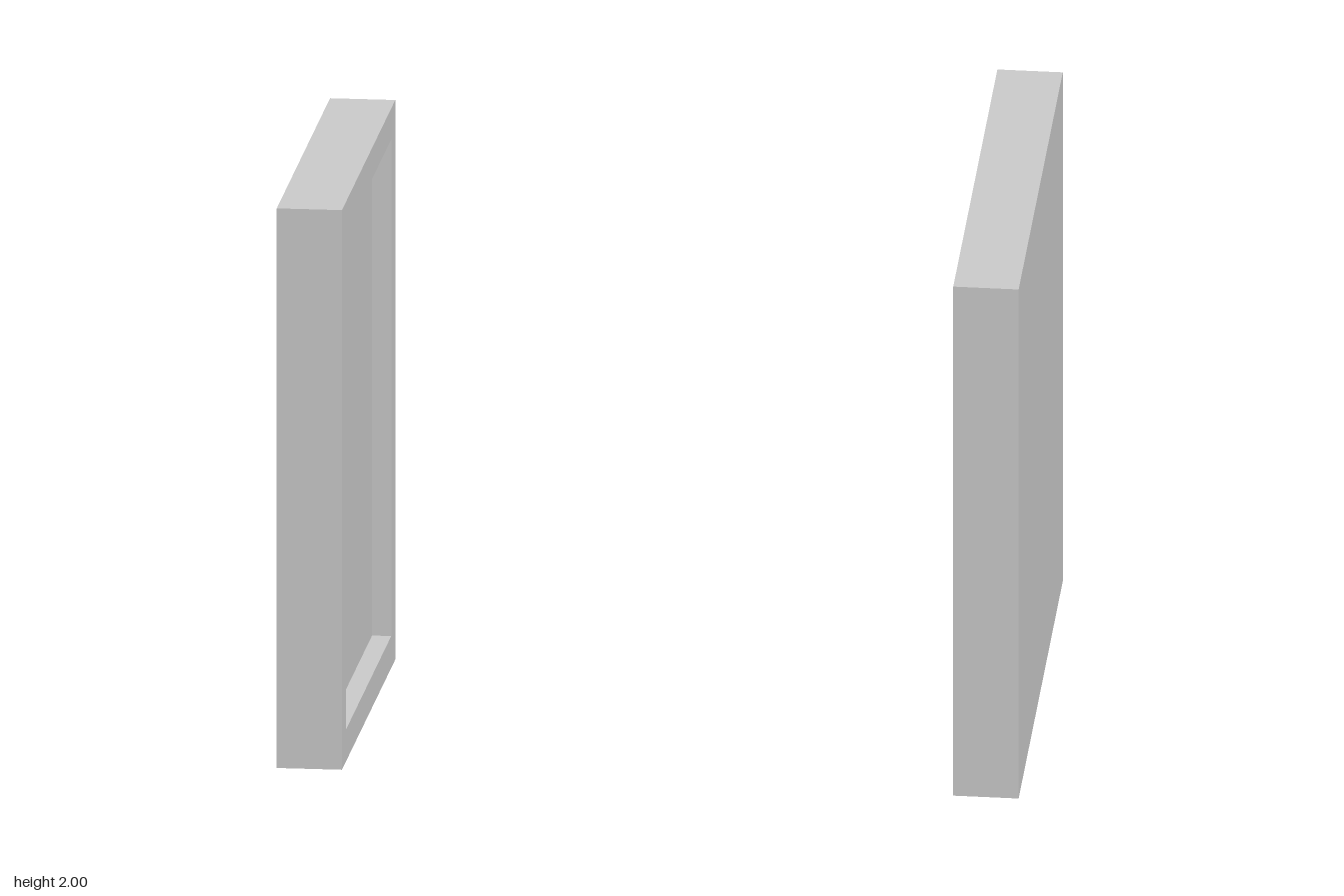
import * as THREE from 'three';

const material = new THREE.MeshStandardMaterial({ color: 0xcccccc, flatShading: true });

// Rectangular cross-sections: x position, half depth in z, bottom and top
const back = { x: -0.114, z: 0.808, y0: 0, y1: 2 };
const front = { ...back, x: 0.114 };
const lip = { x: 0.114, z: 0.686, y0: 0.114, y1: 1.889 };
const recess = { ...lip, x: 0.047 };

// Corners of a section, counter-clockwise as seen from +x
const corners = ({ x, z, y0, y1 }) => [[x, y0, z], [x, y0, -z], [x, y1, -z], [x, y1, z]];

// Joins consecutive sections with flat quads
function loft(sections) {
  const positions = [];
  const rings = sections.map(corners);
  for (let r = 0; r < rings.length - 1; r++) {
    for (let i = 0; i < 4; i++) {
      const j = (i + 1) % 4;
      const [a, b, c, d] = [rings[r][i], rings[r][j], rings[r + 1][j], rings[r + 1][i]];
      positions.push(...a, ...b, ...c, ...a, ...c, ...d);
    }
  }
  const geometry = new THREE.BufferGeometry();
  geometry.setAttribute('position', new THREE.Float32BufferAttribute(positions, 3));
  geometry.computeVertexNormals();
  return geometry;
}

// Flat panel filling a section, facing +x (side 1) or -x (side -1)
function panel(name, { x, z, y0, y1 }, side) {
  const mesh = new THREE.Mesh(new THREE.PlaneGeometry(2 * z, y1 - y0), material);
  mesh.name = name;
  mesh.rotation.y = side * Math.PI / 2;
  mesh.position.set(x, (y0 + y1) / 2, 0);
  return mesh;
}

export function createModel() {
  const group = new THREE.Group();
  group.name = 'framedPanel';

  // Outer sides, front border and recess walls
  const frame = new THREE.Mesh(loft([back, front, lip, recess]), material);
  frame.name = 'frame';
  group.add(frame);

  // Sunken face and plain back
  group.add(panel('recessedPanel', recess, 1), panel('backPanel', back, -1));

  return group;
}
